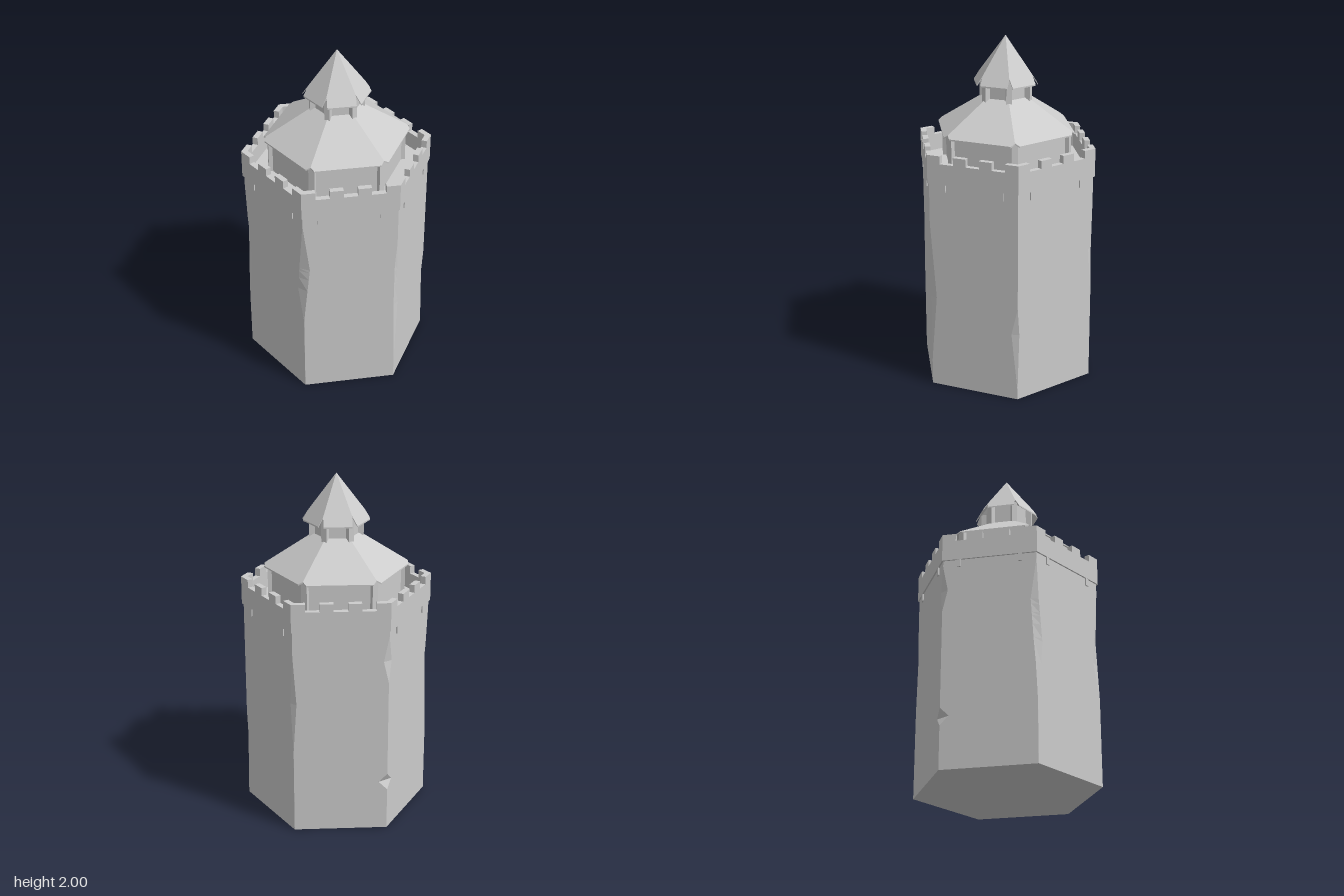
import * as THREE from 'three';

const mat = new THREE.MeshStandardMaterial({ color: 0xcccccc, flatShading: true, side: THREE.DoubleSide });
const STEP = Math.PI / 3;
const polar = (r, a) => [r * Math.cos(a), r * Math.sin(a)];

function mesh(name, geo, parent) {
  const m = new THREE.Mesh(geo, mat);
  m.name = name;
  parent.add(m);
  return m;
}

// Flat-shaded geometry from a list of triangles
function fromTriangles(tris) {
  const g = new THREE.BufferGeometry();
  g.setAttribute('position', new THREE.Float32BufferAttribute(tris.flat(2), 3));
  g.computeVertexNormals();
  return g;
}

// Vertical prism from a ground outline of [x, z] points
function prism(pts, y0, y1, hole) {
  const v = p => new THREE.Vector2(p[0], -p[1]);
  const shape = new THREE.Shape(pts.map(v));
  if (hole) shape.holes.push(new THREE.Path(hole.map(v)));
  const g = new THREE.ExtrudeGeometry(shape, { depth: y1 - y0, bevelEnabled: false });
  return g.rotateX(-Math.PI / 2).translate(0, y0, 0);
}
const hex = r => Array.from({ length: 6 }, (_, k) => polar(r, k * STEP));

// Worn corners: [height, chip towards previous side, chip towards next side]
const chips = [
  [[0.15, 0, 0], [0.55, 0.035, 0.012], [0.85, 0.012, 0.012], [1.0, 0, 0]],
  [[0.5, 0, 0], [0.72, 0.022, 0.05], [0.87, 0.038, 0.035], [1.18, 0, 0]],
  [[0.35, 0, 0], [0.57, 0.03, 0.01], [0.7, 0.042, 0.02], [0.95, 0.015, 0.035], [1.2, 0, 0]],
  [[0.25, 0, 0], [0.3, 0.05, 0.05], [0.35, 0, 0], [0.92, 0, 0], [1.05, 0.03, 0.03], [1.2, 0, 0]],
  [[0.5, 0, 0], [0.8, 0.02, 0.025], [1.1, 0, 0]],
  [[0.06, 0, 0], [0.4, 0.012, 0.038], [0.56, 0, 0]],
];

function chipAt(list, y) {
  for (let i = 0; i + 1 < list.length; i++) {
    const a = list[i], b = list[i + 1];
    if (y >= a[0] && y <= b[0]) {
      const t = (y - a[0]) / (b[0] - a[0]);
      return [a[1] + (b[1] - a[1]) * t, a[2] + (b[2] - a[2]) * t];
    }
  }
  return [0, 0];
}

function towerBody(r, top) {
  const levels = [...new Set([0, top, ...chips.flat().map(c => c[0])])].sort((a, b) => a - b);
  const rings = levels.map(y => hex(r).flatMap(([x, z], k) => {
    const [prev, next] = chipAt(chips[k], y).map(d => Math.max(d, 0.0005));
    const [px, pz] = polar(prev, (k - 2) * STEP), [nx, nz] = polar(next, (k + 2) * STEP);
    return [[x + px, y, z + pz], [x + nx, y, z + nz]];
  }));
  const tris = [];
  for (let i = 0; i + 1 < rings.length; i++) {
    for (let j = 0; j < 12; j++) {
      const n = (j + 1) % 12, a = rings[i], b = rings[i + 1];
      tris.push([a[j], b[j], b[n]], [a[j], b[n], a[n]]);
    }
  }
  for (let j = 0; j < 12; j++) {
    const n = (j + 1) % 12;
    tris.push([[0, 0, 0], rings[0][j], rings[0][n]]);
    tris.push([[0, top, 0], rings.at(-1)[n], rings.at(-1)[j]]);
  }
  return fromTriangles(tris);
}

// Six sloping roof panels with a notch at each ridge end, plus a thin underside
function hexRoof({ eaveY, eave, half, notchR, topY, topR }) {
  const tris = [];
  const topA = topR * Math.cos(STEP / 2);
  const slope = (topY - eaveY) / (eave - topA);
  const heightAt = a => eaveY + slope * (eave - a);
  const notchA = notchR * Math.cos(STEP / 2);
  const drop = 0.008;
  for (let k = 0; k < 6; k++) {
    const mid = (k + 0.5) * STEP, c = Math.cos(mid), s = Math.sin(mid);
    const at = (a, t, down = 0) => [a * c - t * s, heightAt(a) - down, a * s + t * c];
    const outline = [[topA, -topR / 2], [notchA, -notchR / 2], [eave, -half],
      [eave, half], [notchA, notchR / 2], [topA, topR / 2]];
    const up = outline.map(([a, t]) => at(a, t)), low = outline.map(([a, t]) => at(a, t, drop));
    for (const [i, j, l] of [[0, 4, 1], [0, 5, 4], [1, 4, 3], [1, 3, 2]]) {
      tris.push([up[i], up[j], up[l]], [low[i], low[l], low[j]]);
    }
    for (let i = 1; i < 4; i++) tris.push([up[i], up[i + 1], low[i + 1]], [up[i], low[i + 1], low[i]]);
  }
  return fromTriangles(tris);
}

// Posts on the six corners
function cornerPosts(name, parent, r, size, y0, y1) {
  for (let k = 0; k < 6; k++) {
    const [x, z] = polar(r, k * STEP);
    const p = mesh(name, new THREE.BoxGeometry(size, y1 - y0, size), parent);
    p.position.set(x, (y0 + y1) / 2, z);
    p.rotation.y = -k * STEP;
  }
}

export function createModel() {
  const tower = new THREE.Group();
  tower.name = 'tower';

  mesh('towerBody', towerBody(0.535, 1.26), tower);

  // Parapet with three notches per side
  const parapet = new THREE.Group();
  parapet.name = 'parapet';
  tower.add(parapet);
  const outR = 0.545, inR = 0.508, outA = outR * Math.cos(STEP / 2), inA = inR * Math.cos(STEP / 2);
  mesh('parapetWall', prism(hex(outR), 1.235, 1.355, hex(inR)), parapet);
  for (let k = 0; k < 6; k++) {
    const side = new THREE.Group();
    side.name = 'parapetSide';
    side.rotation.y = k * STEP;
    parapet.add(side);
    for (const s of [-1, 1]) {
      const strip = (x0, x1, xIn) => [[s * x0, inA], [s * x0, outA], [s * x1, outA], [s * xIn, inA]];
      mesh('merlon', prism(strip(0.04, 0.115, 0.115), 1.355, 1.4), side);
      mesh('cornerMerlon', prism(strip(0.195, outR / 2, inR / 2), 1.355, 1.4), side);
      const bracket = mesh('bracket', new THREE.BoxGeometry(0.022, 0.045, 0.014), side);
      bracket.position.set(s * 0.175, 1.2125, 0.464);
    }
  }

  // Main chamber and its roof
  mesh('chamberWall', prism(hex(0.38), 1.26, 1.49), tower);
  cornerPosts('chamberPost', tower, 0.375, 0.036, 1.26, 1.485);
  mesh('mainRoof', hexRoof({ eaveY: 1.47, eave: 0.37, half: 0.185, notchR: 0.403, topY: 1.655, topR: 0.135 }), tower);

  // Lantern and spire
  mesh('lanternWall', prism(hex(0.13), 1.6, 1.78), tower);
  cornerPosts('lanternPost', tower, 0.138, 0.032, 1.6, 1.775);
  mesh('spireRoof', hexRoof({ eaveY: 1.737, eave: 0.172, half: 0.081, notchR: 0.16, topY: 2, topR: 0.0005 }), tower);

  return tower;
}
